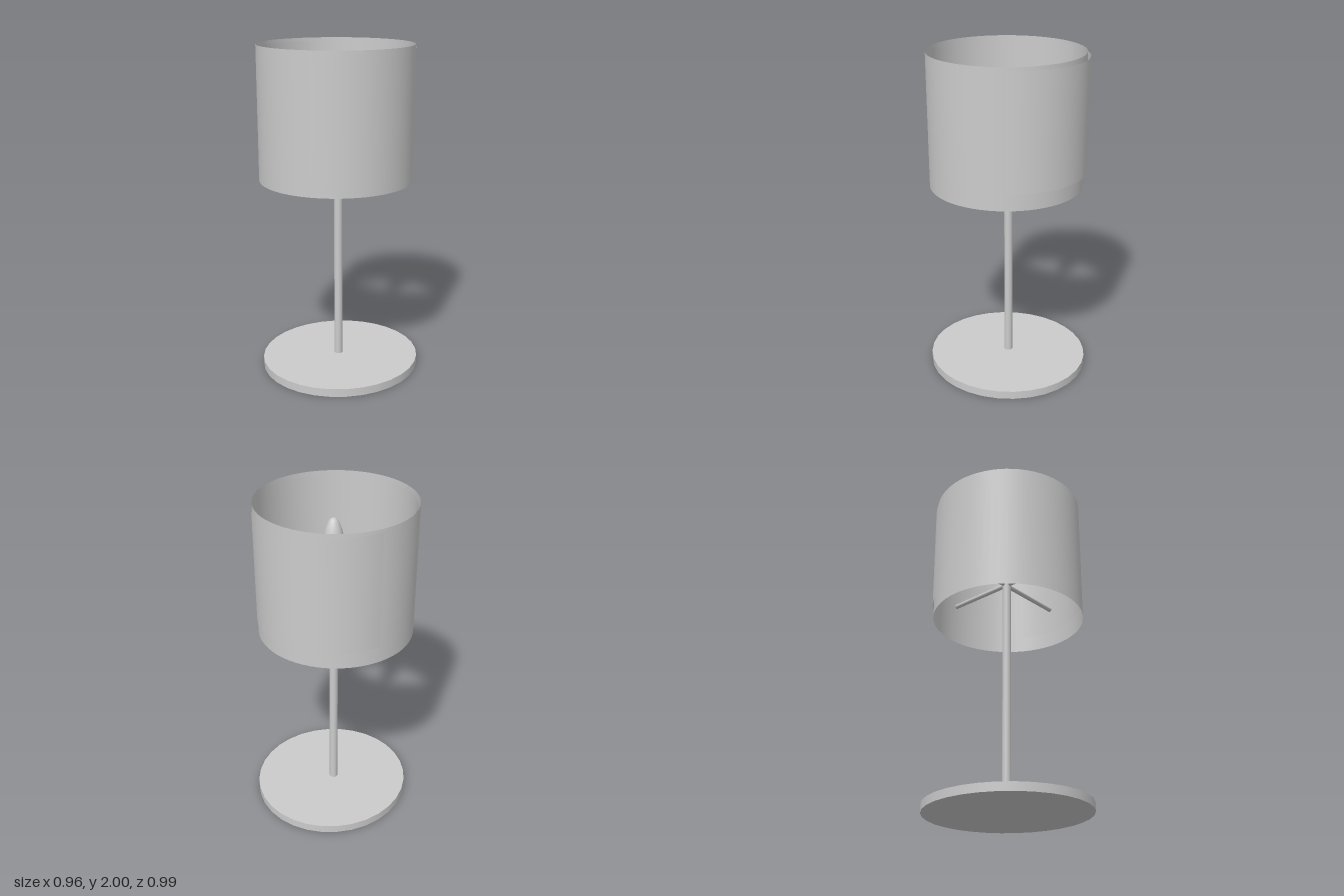
import * as THREE from 'three';

const CX = -0.013; // stem axis, slightly off the base centre

export function createModel() {
  const model = new THREE.Group();
  const solid = new THREE.MeshStandardMaterial({ color: 0xcccccc });
  const thin = new THREE.MeshStandardMaterial({ color: 0xcccccc, side: THREE.DoubleSide });

  const add = (name, geometry, x, y, z, material = solid) => {
    const mesh = new THREE.Mesh(geometry, material);
    mesh.name = name;
    mesh.position.set(x, y, z);
    model.add(mesh);
    return mesh;
  };

  // Flat round foot, a little deeper than wide
  add('base', new THREE.CylinderGeometry(1, 1, 0.05, 32), 0, 0.025, 0).scale.set(0.48, 1, 0.497);

  // Stem from the foot up to the bulb
  add('stem', new THREE.CylinderGeometry(0.026, 0.026, 1.47, 24), CX, 0.775, 0.003);

  // Four horizontal arms that carry the shade
  const armX = add('sideArms', new THREE.CylinderGeometry(0.0145, 0.0145, 0.882, 16), -0.011, 1.46, -0.002);
  armX.rotation.z = Math.PI / 2;
  const armZ = add('frontBackArms', new THREE.CylinderGeometry(0.0145, 0.0145, 0.9, 16), -0.012, 1.46, 0.01);
  armZ.rotation.x = Math.PI / 2;

  // Candle-shaped bulb
  const bulbCurve = new THREE.SplineCurve([
    [0.026, 0], [0.045, 0.06], [0.061, 0.13], [0.065, 0.19], [0.061, 0.26],
    [0.048, 0.33], [0.028, 0.38], [0.012, 0.397], [0, 0.4],
  ].map(([r, y]) => new THREE.Vector2(r, y)));
  const profile = bulbCurve.getPoints(24).map((p) => new THREE.Vector2(Math.max(p.x, 0), p.y));
  profile[profile.length - 1].x = 0;
  add('bulb', new THREE.LatheGeometry(profile, 32), CX, 1.5, -0.002).scale.z = 1.04;

  // Open drum shade
  add('shade', new THREE.CylinderGeometry(0.461, 0.461, 0.8, 64, 1, true), -0.0175, 1.6, 0.0195, thin);

  // Slightly oval lining that pokes out through the back of the shade
  add('shadeLining', new THREE.CylinderGeometry(1, 1, 0.68, 64, 1, true), -0.0175, 1.64, 0.005, thin)
    .scale.set(0.45, 1, 0.47);

  return model;
}
